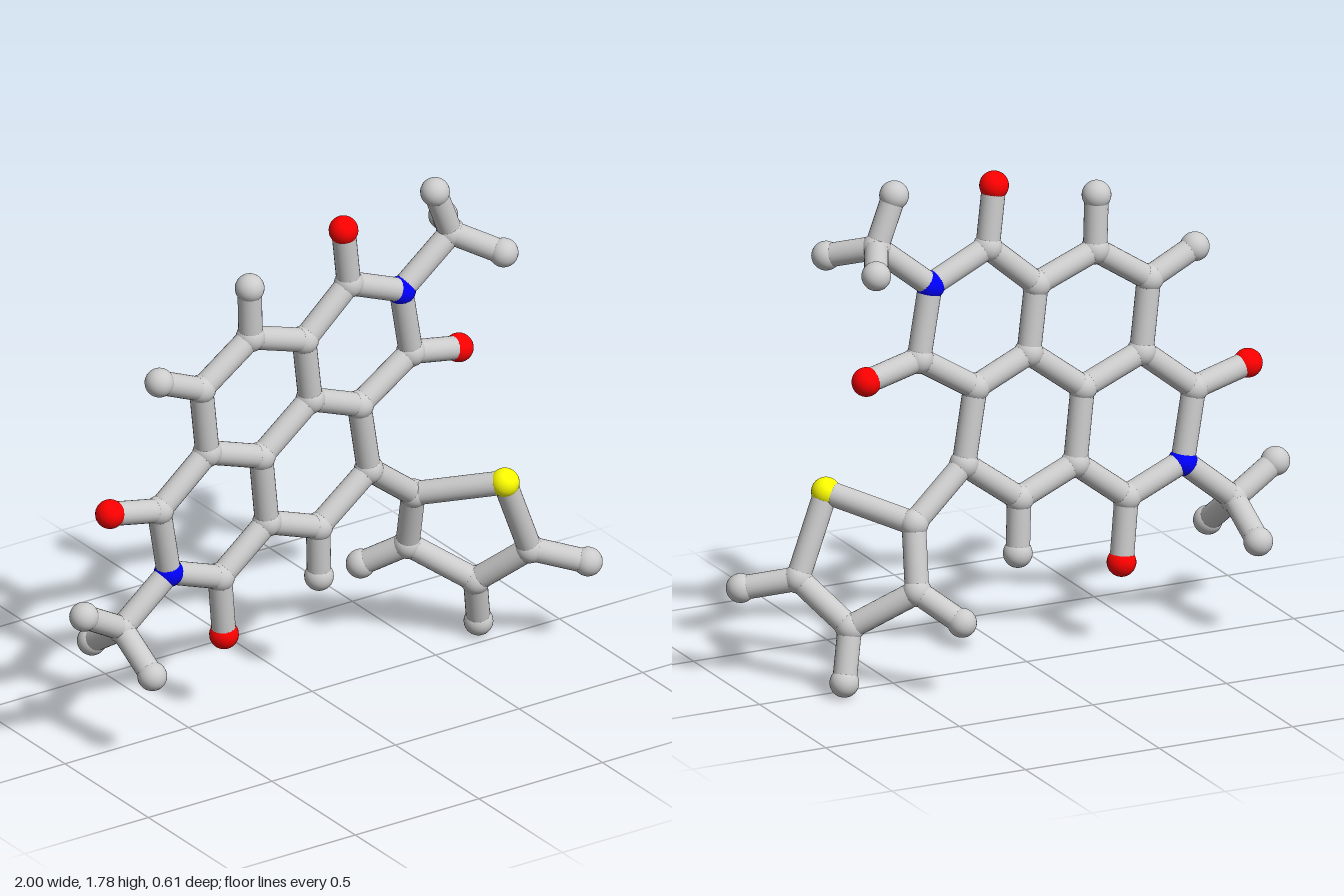
import * as THREE from 'three';

const BALL = 0.05, ROD = 0.041;

// Flat core lies on one slightly tilted plane
const coreZ = (x, y) => -0.049 - 0.07 * x + 0.048 * y;

// name: [x, y, z]; z is left out for the flat core
const atoms = {
  // fused rings
  C1: [0.14, 1.49], N1: [0.365, 1.395], C2: [0.415, 1.145], C3: [0.2, 1.01],
  C4: [-0.01, 1.095], C5: [-0.045, 1.33], C6: [-0.275, 1.41], C7: [-0.48, 1.275],
  C8: [-0.445, 1.025], C9: [-0.215, 0.94], C10: [-0.645, 0.865], N2: [-0.595, 0.615],
  C11: [-0.375, 0.53], C12: [-0.18, 0.68], C13: [0.04, 0.595], C14: [0.25, 0.75],
  // end atoms on the core
  O1: [0.11, 1.7], O2: [0.62, 1.1], O3: [-0.855, 0.915], O4: [-0.35, 0.305],
  H6: [-0.285, 1.6], H7: [-0.66, 1.355], H13: [0.05, 0.405],
  // five-sided side ring
  C15: [0.46, 0.585, -0.075], S1: [0.675, 0.66, 0.155], C16: [0.79, 0.375, 0.135],
  C17: [0.67, 0.23, -0.015], C18: [0.48, 0.365, -0.14],
  H16: [0.947, 0.33, 0.25], H17: [0.71, 0.052, -0.055], H18: [0.37, 0.275, -0.258],
  // upper methyl group
  C19: [0.565, 1.557, -0.005], H19a: [0.495, 1.73, 0.003],
  H19b: [0.655, 1.525, -0.185], H19c: [0.685, 1.505, 0.133],
  // lower methyl group
  C20: [-0.785, 0.457, 0.02], H20a: [-0.953, 0.555, 0.045],
  H20b: [-0.765, 0.335, 0.175], H20c: [-0.797, 0.35, -0.14],
};

// Each chain joins its neighbours with rods
const chains = [
  'C1 N1 C2 C3 C4 C5 C1', 'C5 C6 C7 C8 C9 C4', 'C8 C10 N2 C11 C12 C9',
  'C12 C13 C14 C3', 'C14 C15 S1 C16 C17 C18 C15',
  'C1 O1', 'C2 O2', 'C10 O3', 'C11 O4', 'C6 H6', 'C7 H7', 'C13 H13',
  'C16 H16', 'C17 H17', 'C18 H18',
  'N1 C19 H19a', 'H19b C19 H19c', 'N2 C20 H20a', 'H20b C20 H20c',
];

const kinds = {
  C: ['carbonBall', 0xcccccc], H: ['hydrogenBall', 0xcccccc], O: ['oxygenBall', 0xff0000],
  N: ['nitrogenBall', 0x0000ff], S: ['sulfurBall', 0xffff00],
};

export function createModel() {
  const model = new THREE.Group();
  model.name = 'molecule';
  const balls = new THREE.Group();
  balls.name = 'balls';
  const rods = new THREE.Group();
  rods.name = 'rods';
  model.add(balls, rods);

  const material = {};
  for (const k in kinds) material[k] = new THREE.MeshStandardMaterial({ color: kinds[k][1] });

  // Balls
  const ballGeometry = new THREE.SphereGeometry(BALL, 28, 20);
  const points = {};
  for (const [id, [x, y, z = coreZ(x, y)]] of Object.entries(atoms)) {
    points[id] = new THREE.Vector3(x, y, z);
    const ball = new THREE.Mesh(ballGeometry, material[id[0]]);
    ball.name = kinds[id[0]][0];
    ball.position.copy(points[id]);
    balls.add(ball);
  }

  // Rods
  const rodGeometry = new THREE.CylinderGeometry(ROD, ROD, 1, 24);
  const up = new THREE.Vector3(0, 1, 0);
  for (const chain of chains) {
    const ids = chain.split(' ');
    for (let i = 1; i < ids.length; i++) {
      const a = points[ids[i - 1]], b = points[ids[i]];
      const dir = b.clone().sub(a);
      const rod = new THREE.Mesh(rodGeometry, material.C);
      rod.name = 'rod';
      rod.position.copy(a).lerp(b, 0.5);
      rod.scale.y = dir.length();
      rod.quaternion.setFromUnitVectors(up, dir.normalize());
      rods.add(rod);
    }
  }
  return model;
}
